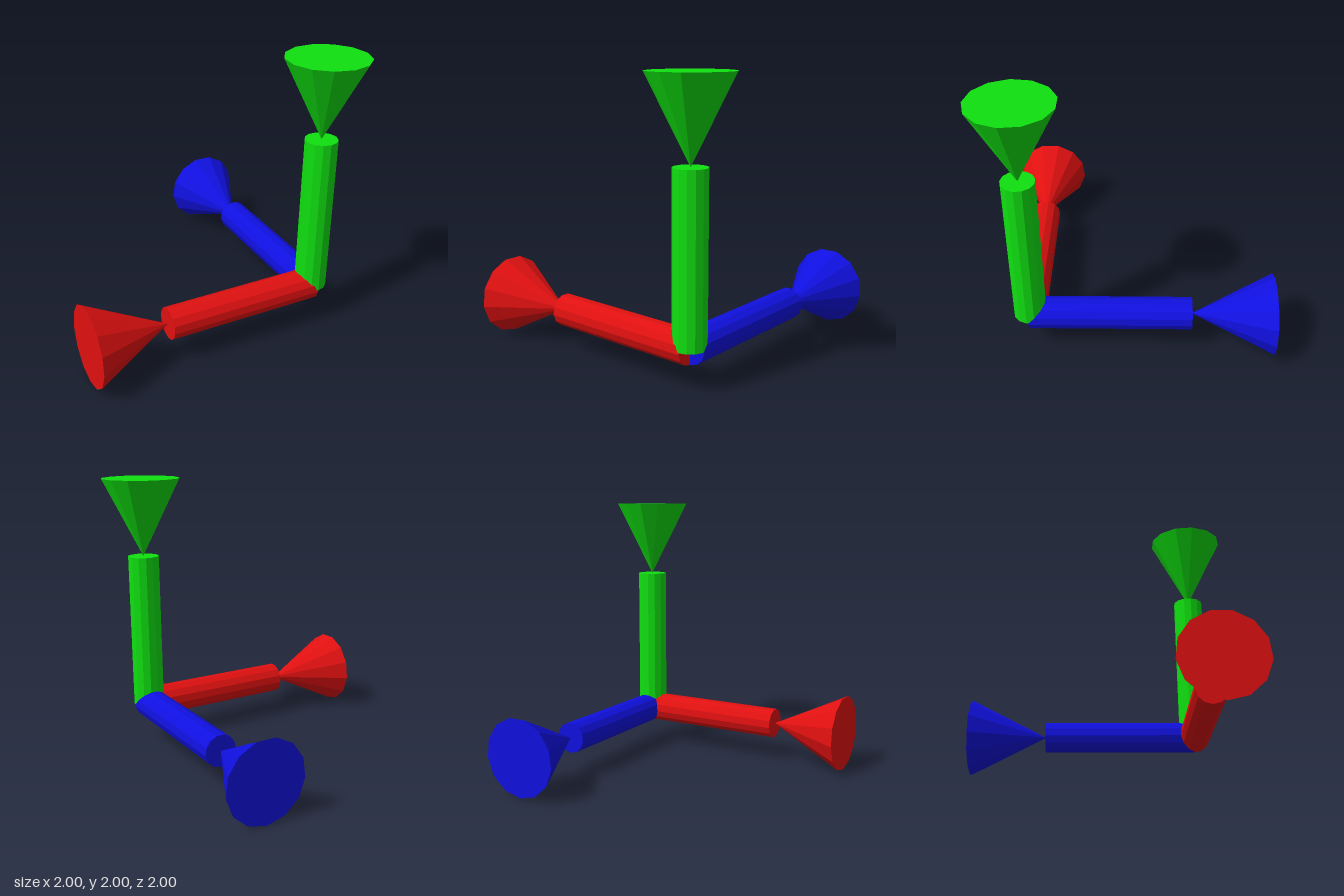
import * as THREE from 'three';

const SIDES = 13;
const SHAFT = { radius: 0.114, length: 1.143 };
const CONE = { radius: 0.286, length: 0.571 };

// One axis: a shaft from the shared corner, then a cone touching it with its tip
function createArm(name, color, x, y, z) {
  const arm = new THREE.Group();
  arm.name = name + 'Axis';
  const material = new THREE.MeshStandardMaterial({ color, flatShading: true });

  const shaft = new THREE.Mesh(
    new THREE.CylinderGeometry(SHAFT.radius, SHAFT.radius, SHAFT.length, SIDES), material);
  shaft.name = name + 'Shaft';
  shaft.position.y = SHAFT.length / 2;

  const cone = new THREE.Mesh(
    new THREE.CylinderGeometry(CONE.radius, 0, CONE.length, SIDES), material);
  cone.name = name + 'Cone';
  cone.position.y = SHAFT.length + CONE.length / 2;

  arm.add(shaft, cone);
  // Aim the arm by giving the directions of its local axes
  const basis = new THREE.Matrix4().makeBasis(
    new THREE.Vector3(...x), new THREE.Vector3(...y), new THREE.Vector3(...z));
  arm.quaternion.setFromRotationMatrix(basis);
  arm.position.set(0.714, 0.286, 0.714);
  return arm;
}

export function createModel() {
  const model = new THREE.Group();
  model.name = 'axisGizmo';
  model.add(
    createArm('red', 0xe01010, [0, 0, 1], [-1, 0, 0], [0, -1, 0]),
    createArm('green', 0x10e010, [1, 0, 0], [0, 1, 0], [0, 0, 1]),
    createArm('blue', 0x1010e0, [-1, 0, 0], [0, 0, -1], [0, -1, 0]));
  return model;
}
